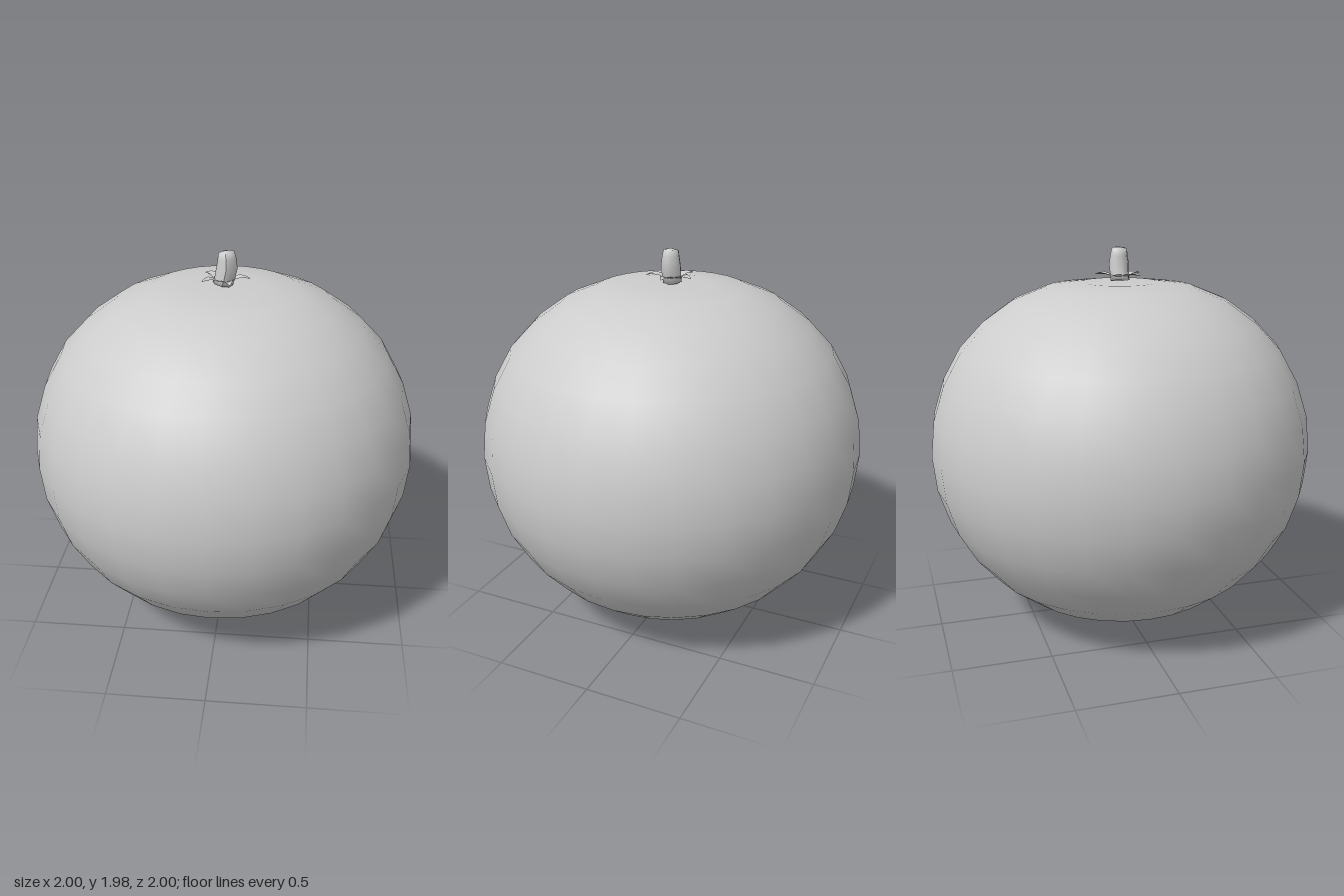
import * as THREE from 'three';

const skin = new THREE.MeshStandardMaterial({ color: 0xcccccc });
skin.name = 'pale grey';
const leafMat = new THREE.MeshStandardMaterial({ color: 0xcccccc, side: THREE.DoubleSide });
leafMat.name = 'pale grey leaf';

function lathe(profile, sides) {
  return new THREE.LatheGeometry(profile.map(([r, y]) => new THREE.Vector2(r, y)), sides);
}

// Round fruit: a squashed sphere with a flattened top
function makeFruit() {
  const rows = 16, profile = [];
  const flatTop = [1.8, 1.803, 1.78, 1.71, 1.602];
  for (let i = 0; i <= rows; i++) {
    const a = (i / rows) * Math.PI;
    const y = rows - i < flatTop.length ? flatTop[rows - i] : 0.945 * (1 - Math.cos(a));
    profile.push([i === 0 || i === rows ? 0 : Math.sin(a), y]);
  }
  const fruit = new THREE.Mesh(lathe(profile, 28), skin);
  fruit.name = 'fruit';
  return fruit;
}

// Short bent stem, its rings shifted sideways and its ends tilted
function makeStem() {
  const g = lathe([[0, 0], [0.05, 0], [0.05, 0.03], [0.053, 0.08], [0.046, 0.13], [0.04, 0.16], [0, 0.168]], 8);
  const p = g.attributes.position;
  for (let i = 0; i < p.count; i++) {
    const x = p.getX(i), t = p.getY(i) / 0.168;
    const bend = -0.008 + 0.07 * t - 0.054 * t * t;
    const tilt = THREE.MathUtils.lerp(-0.18, 0.18, t);
    p.setXYZ(i, x + bend, p.getY(i) + 1.81 + x * tilt, p.getZ(i));
  }
  g.computeVertexNormals();
  const stem = new THREE.Mesh(g, skin);
  stem.name = 'stem';
  return stem;
}

// One pointed sepal along +x, arched from the stem to its tip
function makeLeafGeometry() {
  const sections = [[0.03, 0.02, 1.828], [0.05, 0.032, 1.842], [0.075, 0.03, 1.85], [0.105, 0.016, 1.85], [0.132, 0, 1.84]];
  const pos = [], index = [];
  sections.forEach(([x, w, y], i) => {
    pos.push(x, y, -w, x, y - 0.008 * (w > 0), 0, x, y, w);
    if (i === 0) return;
    for (let k = 0; k < 2; k++) {
      const a = (i - 1) * 3 + k, b = a + 3;
      index.push(a, a + 1, b, a + 1, b + 1, b);
    }
  });
  const g = new THREE.BufferGeometry();
  g.setAttribute('position', new THREE.Float32BufferAttribute(pos, 3));
  g.setIndex(index);
  g.computeVertexNormals();
  return g;
}

export function createModel() {
  const model = new THREE.Group();
  model.name = 'roundFruit';
  model.add(makeFruit(), makeStem());

  // Star of five sepals around the stem
  const crown = new THREE.Group();
  crown.name = 'leafCrown';
  const leafGeometry = makeLeafGeometry();
  for (let i = 0; i < 5; i++) {
    const leaf = new THREE.Mesh(leafGeometry, leafMat);
    leaf.name = 'leaf';
    leaf.rotation.y = (i / 5) * Math.PI * 2;
    crown.add(leaf);
  }
  model.add(crown);
  return model;
}
